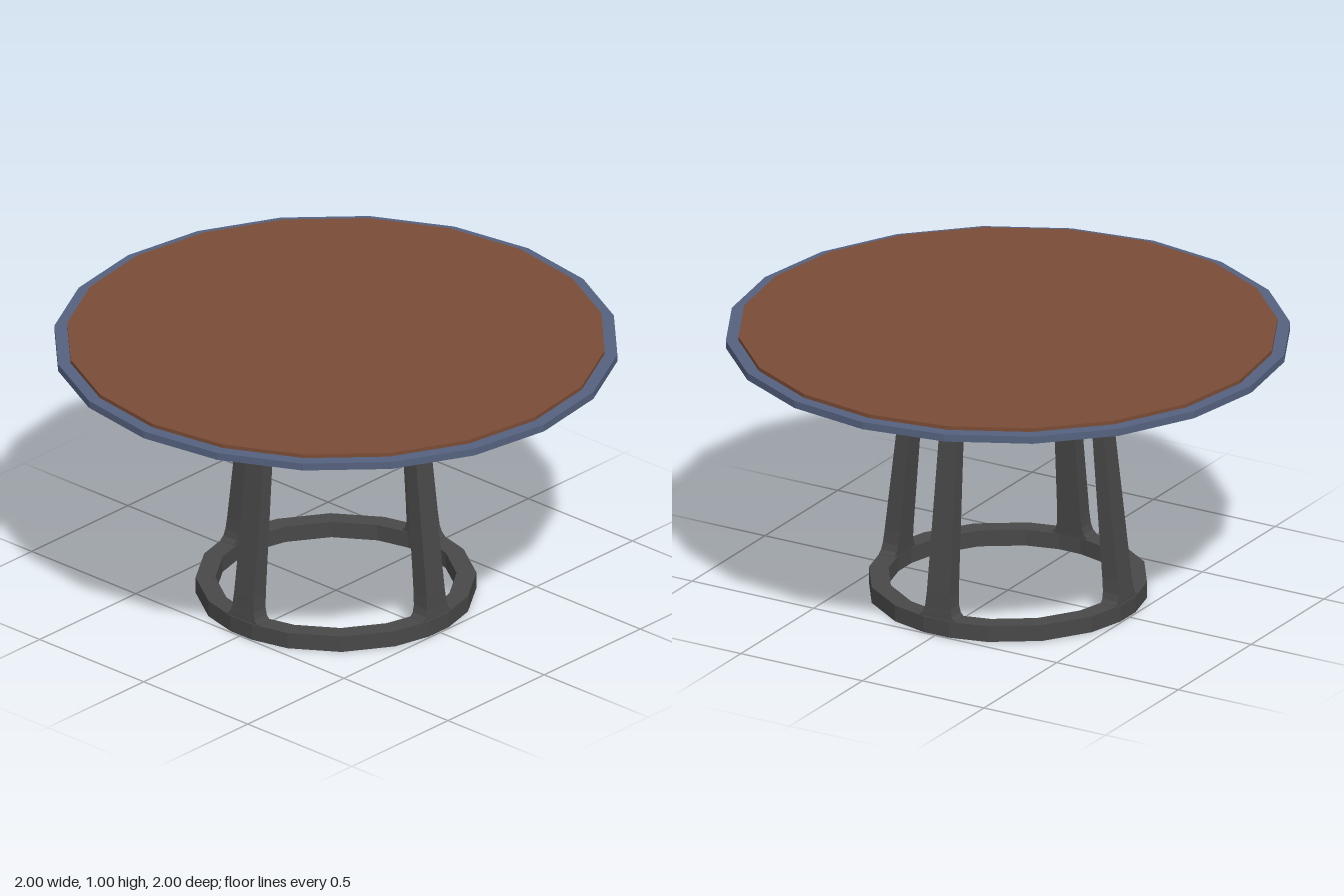
import * as THREE from 'three';

const mat = (color) => new THREE.MeshStandardMaterial({ color, flatShading: true, side: THREE.DoubleSide });

// Faceted outline with a narrow flat on each axis where a leg stands
function outline(target, r) {
  const pts = [];
  for (let q = 0; q < 4; q++) {
    for (const deg of [-6, 6, 22.5, 45, 67.5]) {
      const a = THREE.MathUtils.degToRad(deg + q * 90);
      pts.push(new THREE.Vector2(r * Math.cos(a), r * Math.sin(a)));
    }
  }
  return target.setFromPoints(pts);
}

// Leaning leg lofted from rectangles: [y, inner x, outer x, half width]
function legGeometry() {
  const sections = [
    [0.05, 0.425, 0.489, 0.075],
    [0.062, 0.424, 0.488, 0.072],
    [0.075, 0.423, 0.487, 0.059],
    [0.1, 0.421, 0.484, 0.051],
    [0.15, 0.416, 0.479, 0.047],
    [0.96, 0.345, 0.385, 0.033],
  ];
  const pos = [], index = [];
  for (const [y, xi, xo, w] of sections) pos.push(xi, y, w, xo, y, w, xo, y, -w, xi, y, -w);
  for (let s = 0; s < sections.length - 1; s++) {
    for (let k = 0; k < 4; k++) {
      const a = s * 4 + k, b = s * 4 + (k + 1) % 4;
      index.push(a, b, b + 4, a, b + 4, a + 4);
    }
  }
  const g = new THREE.BufferGeometry();
  g.setAttribute('position', new THREE.Float32BufferAttribute(pos, 3));
  g.setIndex(index);
  const flat = g.toNonIndexed();
  flat.computeVertexNormals();
  return flat;
}

export function createModel() {
  const table = new THREE.Group();
  table.name = 'roundTable';
  const wood = mat(0x7a4c36), blue = mat(0x55627f), metal = mat(0x484848);
  const add = (name, geometry, material, y = 0) => {
    const m = new THREE.Mesh(geometry, material);
    m.name = name;
    m.position.y = y;
    table.add(m);
    return m;
  };

  // Twenty-sided top: raised wooden panel, stepped edge band and full underside
  add('topPanel', new THREE.CylinderGeometry(0.955, 0.955, 0.038, 20), wood, 0.979);
  const band = [[1, 0.957], [1, 0.984], [0.955, 0.984]].map(([x, y]) => new THREE.Vector2(x, y));
  add('edgeBand', new THREE.LatheGeometry(band, 20), blue);
  const under = new THREE.CircleGeometry(1, 20).rotateX(Math.PI / 2);
  add('underside', under, wood, 0.957);

  // Floor ring
  const ring = outline(new THREE.Shape(), 0.496);
  ring.holes.push(outline(new THREE.Path(), 0.426));
  const ringGeo = new THREE.ExtrudeGeometry(ring, { depth: 0.06, bevelEnabled: false });
  add('baseRing', ringGeo.rotateX(-Math.PI / 2), metal);

  // Four legs, one on each axis
  const leg = legGeometry();
  for (let i = 0; i < 4; i++) add('leg' + (i + 1), leg, metal).rotation.y = i * Math.PI / 2;

  return table;
}
